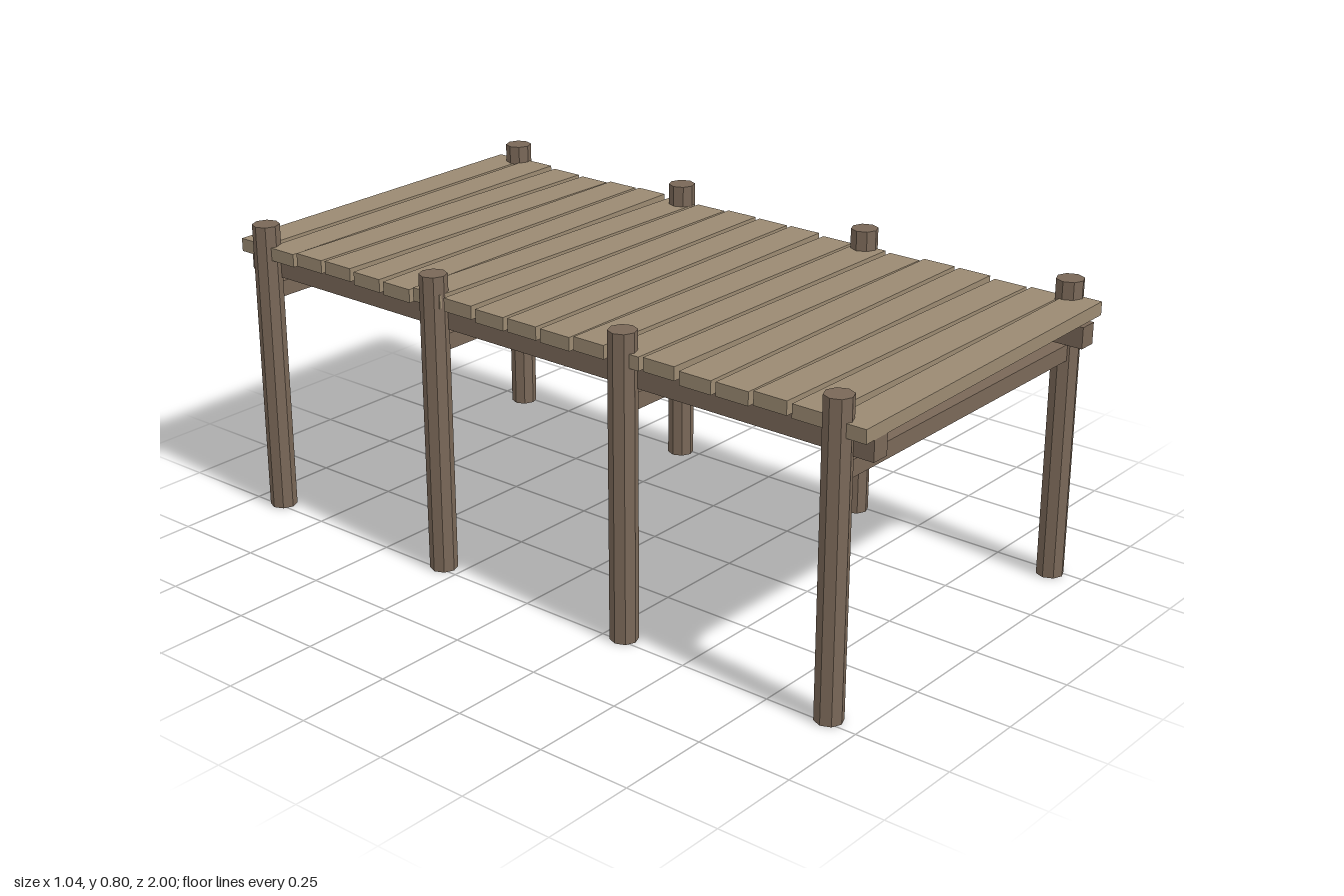
import * as THREE from 'three';

export function createModel() {
  const group = new THREE.Group();
  const plankWood = new THREE.MeshStandardMaterial({ color: 0x9b8a72 });
  plankWood.name = 'plank wood';
  const frameWood = new THREE.MeshStandardMaterial({ color: 0x7a6858 });
  frameWood.name = 'frame wood';

  const add = (name, geometry, material, x, y, z) => {
    const mesh = new THREE.Mesh(geometry, material);
    mesh.name = name;
    mesh.position.set(x, y, z);
    group.add(mesh);
    return mesh;
  };

  // Octagonal posts in four pairs, each pair joined by a cross beam
  const postGeometry = new THREE.CylinderGeometry(0.036, 0.036, 0.8, 8).toNonIndexed();
  postGeometry.computeVertexNormals();
  const beamGeometry = new THREE.BoxGeometry(0.97, 0.043, 0.04);
  for (const z of [-0.915, -0.305, 0.305, 0.915]) {
    for (const side of [-1, 1]) add('post', postGeometry, frameWood, side * 0.484, 0.4, z);
    add('crossBeam', beamGeometry, frameWood, 0, 0.618, z);
  }

  // Long stringers under the deck
  const stringerGeometry = new THREE.BoxGeometry(0.05, 0.056, 1.995);
  for (const side of [-1, 1]) add('stringer', stringerGeometry, frameWood, side * 0.44, 0.682, 0);

  // Deck planks, each slightly tilted, listed from front to back
  const tilts = [12, -4, -9, 3, 5, -9, -3, -8, 4, 2, 5, -4, -10, 8, 3, -8, -4, 9, 4];
  const plankGeometry = new THREE.BoxGeometry(0.995, 0.035, 0.092);
  tilts.forEach((tilt, i) => {
    const plank = add('plank', plankGeometry, plankWood, 0, 0.731, 0.952 - i * 0.1058);
    plank.rotation.z = tilt / 1000;
  });

  return group;
}
